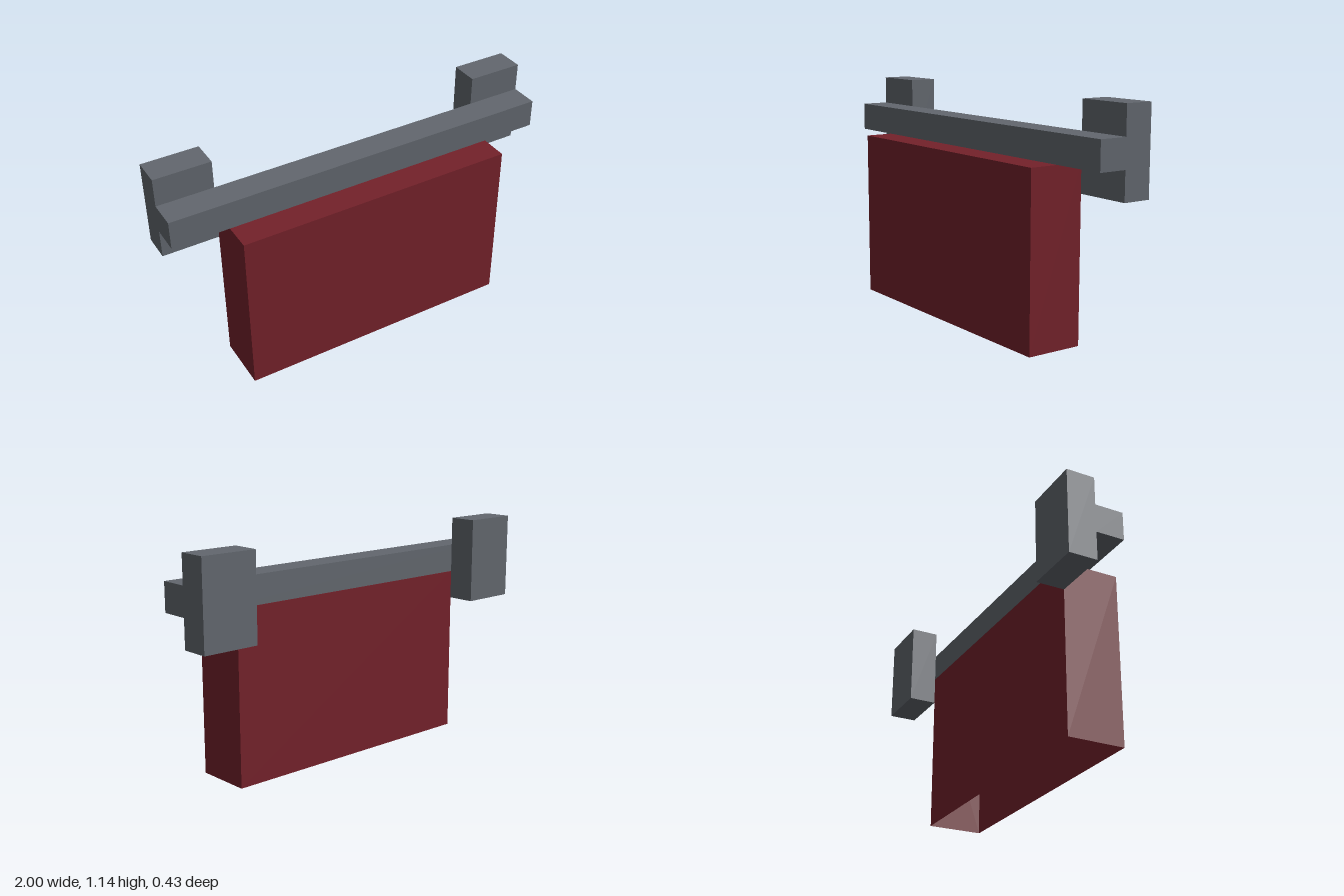
import * as THREE from 'three';

const grey = new THREE.MeshStandardMaterial({ name: 'slate grey', color: 0x62676e });
const red = new THREE.MeshStandardMaterial({ name: 'dark red', color: 0x74212a, side: THREE.DoubleSide });

const U = 1 / 7; // all sizes are multiples of this unit

// Box given by its lower and upper corners, in units
function box(name, material, min, max) {
  const size = max.map((v, i) => (v - min[i]) * U);
  const mesh = new THREE.Mesh(new THREE.BoxGeometry(...size), material);
  mesh.position.set(...max.map((v, i) => (v + min[i]) * U / 2));
  mesh.name = name;
  return mesh;
}

export function createModel() {
  const model = new THREE.Group();
  model.name = 'hangingBanner';

  // Hollow cloth, open at the bottom (bottom face is indices 18 to 23)
  const cloth = box('cloth', red, [-5, 0, -0.5], [5, 6, 1.5]);
  const index = Array.from(cloth.geometry.index.array);
  index.splice(18, 6);
  cloth.geometry.setIndex(index);
  cloth.geometry.clearGroups();
  model.add(cloth);

  // Rail across the top, a hair above the cloth
  model.add(box('rail', grey, [-7, 6.005, -0.5], [7, 7, 0.5]));

  // Wall brackets behind the rail ends
  model.add(box('leftBracket', grey, [5, 5, -1.5], [7, 8, -0.5]));
  model.add(box('rightBracket', grey, [-7, 5, -1.5], [-5, 8, -0.5]));

  return model;
}
